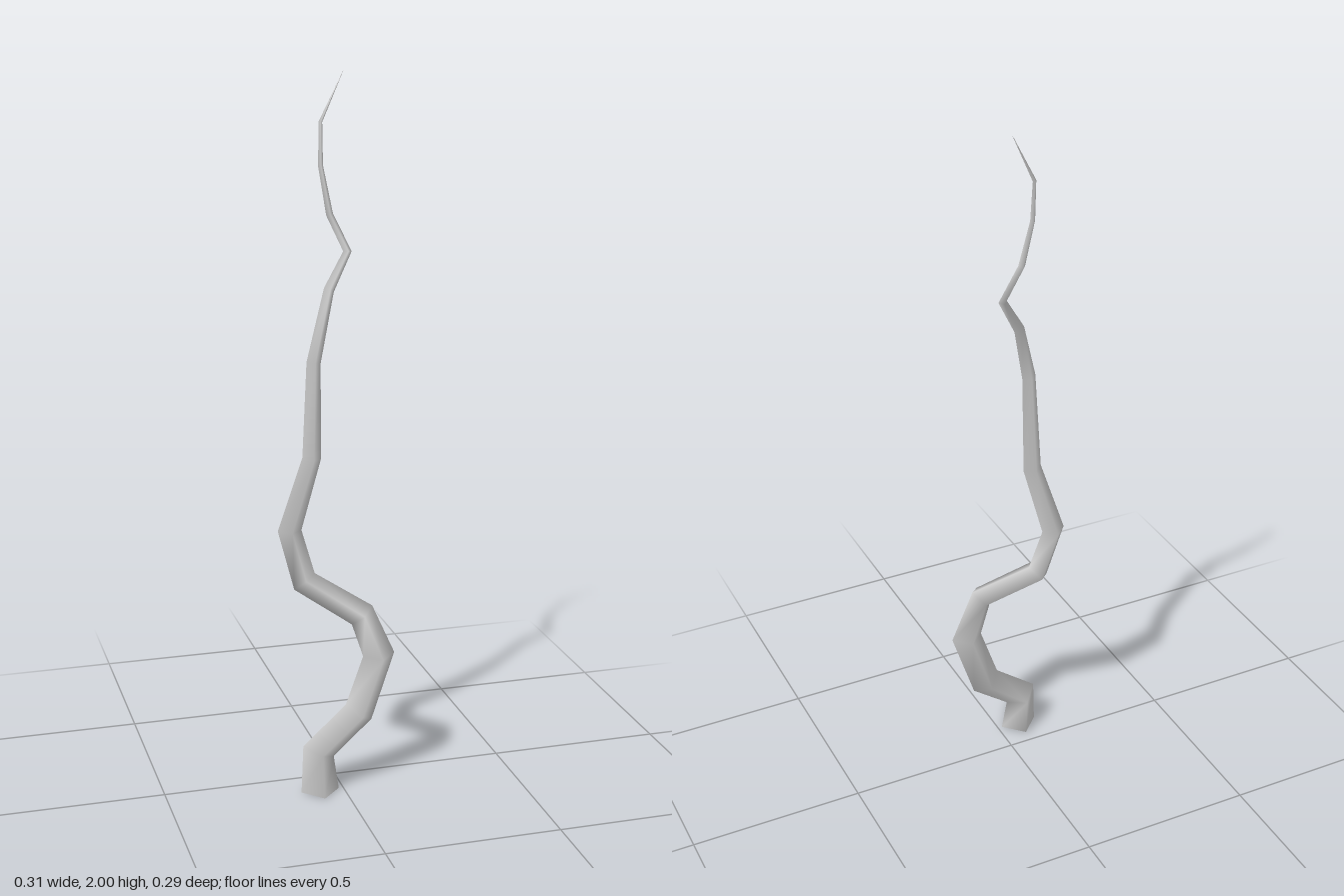
import * as THREE from 'three';

// Centre line of the vine: x, y, z, radius
const PATH = [
  [-0.068, 0, 0.092, 0.055], [-0.07, 0.117, 0.083, 0.049],
  [0.053, 0.217, 0.067, 0.046], [0.109, 0.39, 0.075, 0.046],
  [0.058, 0.515, 0.079, 0.039], [-0.09, 0.605, 0.01, 0.037],
  [-0.126, 0.75, -0.013, 0.034], [-0.065, 0.96, 0, 0.027],
  [-0.066, 1.235, 0.026, 0.02], [-0.005, 1.42, -0.038, 0.015],
  [0.053, 1.52, -0.058, 0.012], [0.008, 1.62, -0.077, 0.01],
  [-0.011, 1.75, -0.1, 0.007], [-0.005, 1.865, -0.121, 0.005],
  [0.066, 2, -0.143, 0.0003],
];
const SIDES = 4;

// Four-sided rings, each tilted to the bisector of its joint
function makeRings() {
  const up = new THREE.Vector3(0, 1, 0);
  const points = PATH.map(([x, y, z]) => new THREE.Vector3(x, y, z));
  return points.map((p, i) => {
    const tangent = new THREE.Vector3(0, 1, 0);
    if (i > 0) {
      tangent.subVectors(p, points[i - 1]).normalize();
      if (i < points.length - 1) {
        tangent.add(points[i + 1].clone().sub(p).normalize()).normalize();
      }
    }
    const tilt = new THREE.Quaternion().setFromUnitVectors(up, tangent);
    return Array.from({ length: SIDES }, (_, k) => {
      const a = (k / SIDES) * Math.PI * 2;
      return new THREE.Vector3(Math.sin(a), 0, Math.cos(a))
        .multiplyScalar(PATH[i][3]).applyQuaternion(tilt).add(p);
    });
  });
}

export function createModel() {
  const group = new THREE.Group();
  group.name = 'vine';
  const material = new THREE.MeshStandardMaterial({ color: 0xcccccc });
  const rings = makeRings();

  // Stem: rings joined with shared vertices for smooth shading
  const index = [];
  for (let i = 0; i < rings.length - 1; i++) {
    for (let k = 0; k < SIDES; k++) {
      const a = i * SIDES + k, b = i * SIDES + (k + 1) % SIDES;
      index.push(a, b, b + SIDES, a, b + SIDES, a + SIDES);
    }
  }
  const stemGeometry = new THREE.BufferGeometry().setFromPoints(rings.flat());
  stemGeometry.setIndex(index);
  stemGeometry.computeVertexNormals();
  const stem = new THREE.Mesh(stemGeometry, material);
  stem.name = 'stem';

  // Flat cap under the cut end
  const capGeometry = new THREE.BufferGeometry().setFromPoints(rings[0]);
  capGeometry.setIndex([0, 2, 1, 0, 3, 2]);
  capGeometry.computeVertexNormals();
  const cap = new THREE.Mesh(capGeometry, material);
  cap.name = 'baseCap';

  group.add(stem, cap);
  return group;
}
